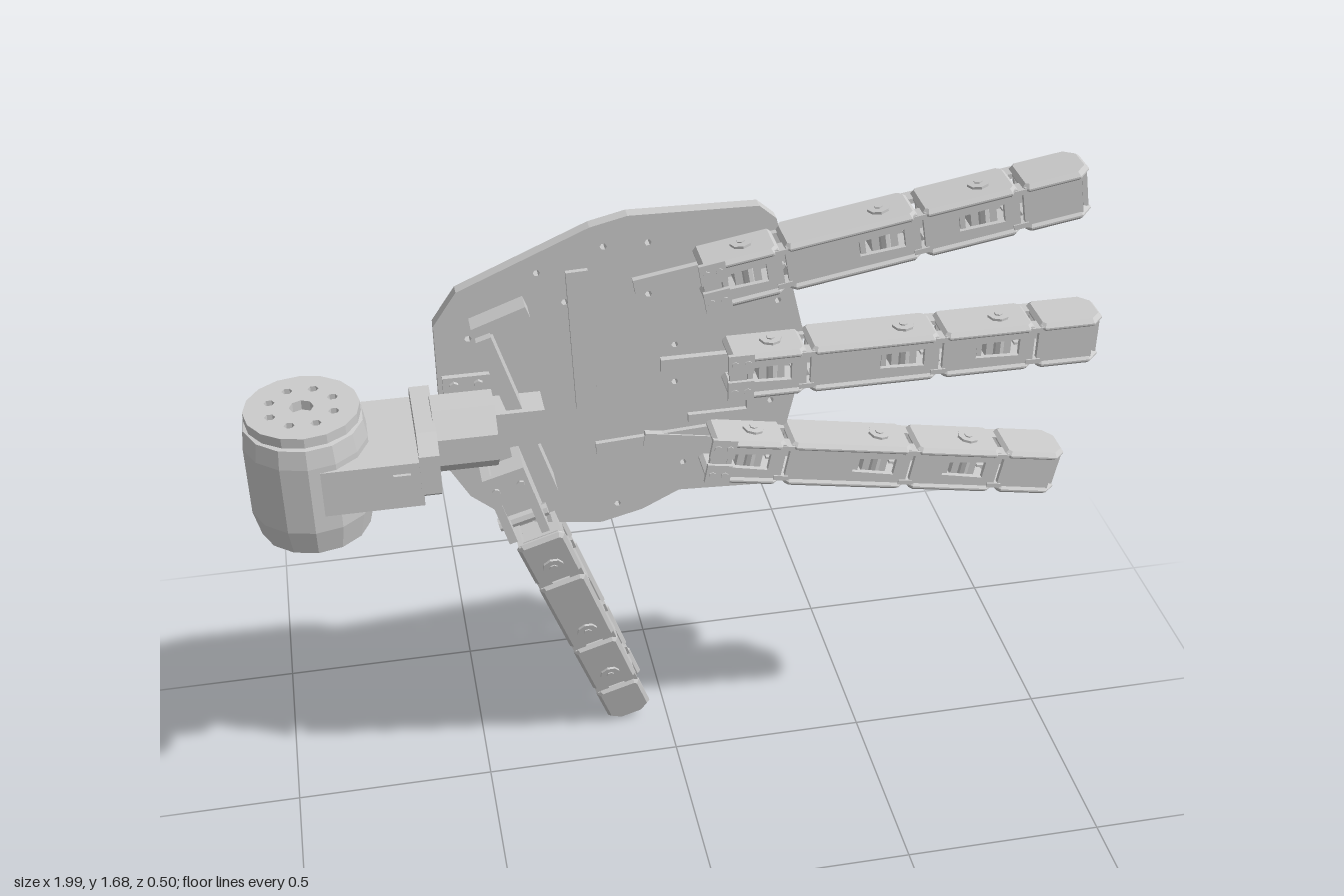
import * as THREE from 'three';

const mat = new THREE.MeshStandardMaterial({ color: 0xcccccc, flatShading: true, side: THREE.DoubleSide });

function add(parent, name, geo, x = 0, y = 0, z = 0, rx = 0, ry = 0, rz = 0) {
  const m = new THREE.Mesh(geo, mat);
  m.name = name;
  m.position.set(x, y, z);
  m.rotation.set(rx, ry, rz);
  parent.add(m);
  return m;
}
const box = (w, h, d) => new THREE.BoxGeometry(w, h, d);
const cyl = (r, h, n = 8, r2 = r) => new THREE.CylinderGeometry(r, r2, h, n);
const poly = (pts) => new THREE.Shape(pts.map(([x, y]) => new THREE.Vector2(x, y)));
const circleHole = (x, y, r, n = 6) => {
  const p = [];
  for (let i = 0; i < n; i++) {
    const a = (i / n) * Math.PI * 2;
    p.push(new THREE.Vector2(x + r * Math.cos(a), y + r * Math.sin(a)));
  }
  return new THREE.Path(p);
};
const extrude = (shape, depth, bevel = 0) => new THREE.ExtrudeGeometry(shape, {
  depth, curveSegments: 6, bevelEnabled: bevel > 0, bevelSize: bevel, bevelThickness: bevel,
  bevelOffset: -bevel, bevelSegments: 1,
});
// rectangle with cut corners, c0 at the near end and c1 at the far end
const cutRect = (x0, x1, h, c0, c1) => poly([
  [x0 + c0, -h], [x1 - c1, -h], [x1, -h + c1], [x1, h - c1],
  [x1 - c1, h], [x0 + c0, h], [x0, h - c0], [x0, -h + c0],
]);

// Finger runs along +x; side plates face +-y, slotted face +z, open face -z
const JOINTS = [0, 0.19, 0.505, 0.735, 0.9];
function makeFinger(name) {
  const g = new THREE.Group();
  g.name = name;
  for (let i = 0; i < 4; i++) {
    const tip = i === 3;
    const a = JOINTS[i] + 0.005, b = JOINTS[i + 1] - (tip ? 0 : 0.005);
    const pivot = b - 0.075;
    for (const s of [-1, 1]) {
      // side plate with bevelled edges
      add(g, 'sidePlate', extrude(cutRect(a, b, 0.06, 0.012, tip ? 0.028 : 0.015), 0.004, 0.009),
        0, s > 0 ? 0.047 : -0.051, 0, Math.PI / 2);
      if (!tip) {
        add(g, 'pivotBolt', cyl(0.026, 0.006, 8), pivot, s * 0.06, 0);
        add(g, 'pivotCap', cyl(0.01, 0.008, 6), pivot, s * 0.062, 0);
        add(g, 'hingeLug', box(0.035, 0.012, 0.035), b, s * 0.042, 0.04);
        add(g, 'hingeLug', box(0.035, 0.012, 0.035), b, s * 0.042, -0.04);
      }
    }
    // slotted front panel
    const front = cutRect(a, tip ? b - 0.025 : b, 0.05, 0.004, 0.004);
    if (!tip) {
      front.holes.push(new THREE.Path([
        [b - 0.14, -0.018], [b - 0.14, 0.018], [b - 0.035, 0.022], [b - 0.035, -0.022],
      ].map(([x, y]) => new THREE.Vector2(x, y))));
    }
    add(g, 'frontPanel', extrude(front, 0.012), 0, 0, 0.042);
    // inner motor and rear straps, leaving windows between them
    if (!tip) {
      add(g, 'jointMotor', box(0.06, 0.07, 0.06), pivot, 0, -0.005);
      add(g, 'motorShaft', cyl(0.014, 0.1, 8), pivot, 0, 0.022);
      add(g, 'rearStrap', box(0.03, 0.09, 0.012), b - 0.018, 0, -0.046);
      add(g, 'crossWeb', box(0.012, 0.09, 0.09), b - 0.13, 0, 0);
    }
    const strap = tip ? 0.04 : Math.max(0.03, (b - a) * 0.42);
    add(g, 'rearPanel', box(strap, 0.09, 0.012), a + strap / 2 + 0.01, 0, -0.046);
    if (tip) {
      add(g, 'tipWall', box(0.012, 0.09, 0.07), b - 0.012, 0, 0);
      add(g, 'tipBlock', box(0.05, 0.05, 0.06), b - 0.03, 0, 0);
    }
  }
  return g;
}

export function createModel() {
  const hand = new THREE.Group();
  hand.name = 'robotHand';

  // Palm plate with screw holes
  const palm = poly([
    [-0.555, 1.03], [-0.5, 0.93], [-0.42, 0.86], [-0.34, 0.83], [-0.19, 0.81], [-0.09, 0.835], [0, 0.88],
    [0.195, 0.87], [0.23, 0.895], [0.295, 1.2], [0.29, 1.3], [0.22, 1.59], [0.18, 1.625],
    [-0.115, 1.63], [-0.2, 1.61], [-0.5, 1.48], [-0.555, 1.4],
  ]);
  for (const [x, y] of [
    [-0.32, 1.51], [-0.26, 1.43], [-0.17, 1.56], [-0.07, 1.56], [-0.07, 1.43], [0.23, 1.38], [-0.01, 1.29],
    [-0.01, 1.19], [0.22, 1.11], [-0.02, 1.04], [0.01, 0.96], [-0.15, 0.86], [-0.2, 1.2], [-0.48, 1.36],
  ]) palm.holes.push(circleHole(x, y, 0.008));
  add(hand, 'palm', extrude(palm, 0.03), 0, 0, 0.003);

  // Raised ribs on the palm: [x, y, length, width, height, angle]
  const ribs = [
    [-0.225, 1.33, 0.36, 0.05, 0.012, -1.53], [-0.06, 1.04, 0.28, 0.03, 0.012, 0.06],
    [0.17, 1.14, 0.1, 0.02, 0.012, 1.57], [0.1, 1.09, 0.16, 0.02, 0.012, 0],
    [-0.385, 1.18, 0.45, 0.035, 0.07, -1.27], [-0.41, 1.42, 0.13, 0.03, 0.05, 0.35],
  ];
  for (const [x, y, l, w, h, a] of ribs) add(hand, 'palmRib', box(l, w, h), x, y, 0.033 + h / 2, 0, 0, a);

  // Three fingers, each on a flat mount: [tip x, tip y, angle]
  [[0.92, 1.634, 0.17, 'upperFinger'], [0.995, 1.243, 0, 'middleFinger'], [0.938, 0.864, -0.176, 'lowerFinger']]
    .forEach(([tx, ty, a, name]) => {
      const f = makeFinger(name);
      f.position.set(tx - 0.9 * Math.cos(a), ty - 0.9 * Math.sin(a), 0.07);
      f.rotation.z = a;
      hand.add(f);
      add(f, 'fingerMount', box(0.16, 0.035, 0.018), -0.06, 0, -0.03);
      for (const s of [-1, 1]) {
        add(f, 'mountTab', box(0.06, 0.05, 0.01), 0.03, s * 0.035, 0.057);
        for (const x of [0.015, 0.045]) add(f, 'mountScrew', cyl(0.009, 0.01, 6), x, s * 0.037, 0.06, Math.PI / 2);
      }
    });

  // Thumb, hanging down and swung behind the palm
  const tip = new THREE.Vector3(-0.1, 0.027, -0.195);
  const dir = tip.clone().sub(new THREE.Vector3(-0.355, 0.85, 0.06)).normalize();
  const side = new THREE.Vector3(0, 0, 1).addScaledVector(dir, -dir.z).normalize();
  const face = dir.clone().cross(side);
  const thumb = makeFinger('thumb');
  thumb.quaternion.setFromRotationMatrix(new THREE.Matrix4().makeBasis(dir, side, face));
  thumb.position.copy(tip).addScaledVector(dir, -0.9);
  hand.add(thumb);

  // Thumb bracket on the palm
  const bracket = new THREE.Group();
  bracket.name = 'thumbBracket';
  bracket.position.set(-0.405, 0.96, 0.075);
  bracket.rotation.z = 0.28;
  hand.add(bracket);
  for (const s of [-1, 1]) add(bracket, 'bracketCheek', box(0.02, 0.2, 0.09), s * 0.04, -0.01, 0);
  add(bracket, 'bracketMotor', box(0.07, 0.1, 0.08), 0, 0.015, 0);
  add(bracket, 'bracketFace', box(0.1, 0.08, 0.012), 0, 0.05, 0.045);
  for (const s of [-1, 1]) add(bracket, 'bracketScrew', cyl(0.01, 0.01, 6), s * 0.03, 0.05, 0.052, Math.PI / 2);
  add(bracket, 'bracketPin', cyl(0.016, 0.12, 8), 0, -0.08, 0, 0, 0, Math.PI / 2);

  // Wrist: mounting plate, coupling, flange and arm
  add(hand, 'wristPlate', box(0.11, 0.24, 0.014), -0.49, 1.15, 0.04);
  for (const x of [-0.52, -0.465]) for (const y of [1.045, 1.25]) {
    add(hand, 'wristScrew', cyl(0.011, 0.012, 6), x, y, 0.05, Math.PI / 2);
  }
  add(hand, 'wristCoupling', cyl(0.088, 0.14, 8).rotateY(Math.PI / 8), -0.51, 1.172, 0.115, 0, 0, Math.PI / 2);
  add(hand, 'wristBlock', box(0.15, 0.09, 0.08), -0.4, 1.16, 0.077);
  const flange = poly([
    [-0.03, 1.1], [0.01, 1.065], [0.2, 1.065], [0.245, 1.1], [0.245, 1.2], [0.2, 1.235], [0.01, 1.235], [-0.03, 1.2],
  ]);
  add(hand, 'wristFlange', extrude(flange, 0.045), -0.575, 0, 0, 0, -Math.PI / 2);
  add(hand, 'wristArm', box(0.22, 0.115, 0.27), -0.725, 1.128, 0.108);
  for (const s of [-1, 1]) add(hand, 'armBolt', cyl(0.022, 0.01, 3), -0.66, 1.15, 0.108 + s * 0.138, Math.PI / 2);

  // Wrist motor: faceted housing, open underneath, with a drilled horn on top
  const motor = new THREE.Group();
  motor.name = 'wristMotor';
  motor.position.set(-0.86, 0, 0.108);
  hand.add(motor);
  const profile = [[0.1, 1.0], [0.1, 0.965], [0.125, 0.965], [0.14, 1.03], [0.14, 1.2], [0.133, 1.245], [0.1, 1.25], [0, 1.25]];
  add(motor, 'motorHousing', new THREE.LatheGeometry(profile.map(([x, y]) => new THREE.Vector2(x, y)), 14));
  add(motor, 'motorFloor', cyl(0.1, 0.01, 14), 0, 1.0, 0);
  const horn = new THREE.Shape(circleHole(0, 0, 0.128, 16).getPoints());
  horn.holes.push(circleHole(0, 0, 0.027, 8));
  for (let i = 0; i < 8; i++) {
    const a = ((i + 0.5) / 8) * Math.PI * 2;
    horn.holes.push(circleHole(0.075 * Math.cos(a), 0.075 * Math.sin(a), 0.012));
  }
  add(motor, 'motorHorn', extrude(horn, 0.024), 0, 1.275, 0, Math.PI / 2);

  return hand;
}
